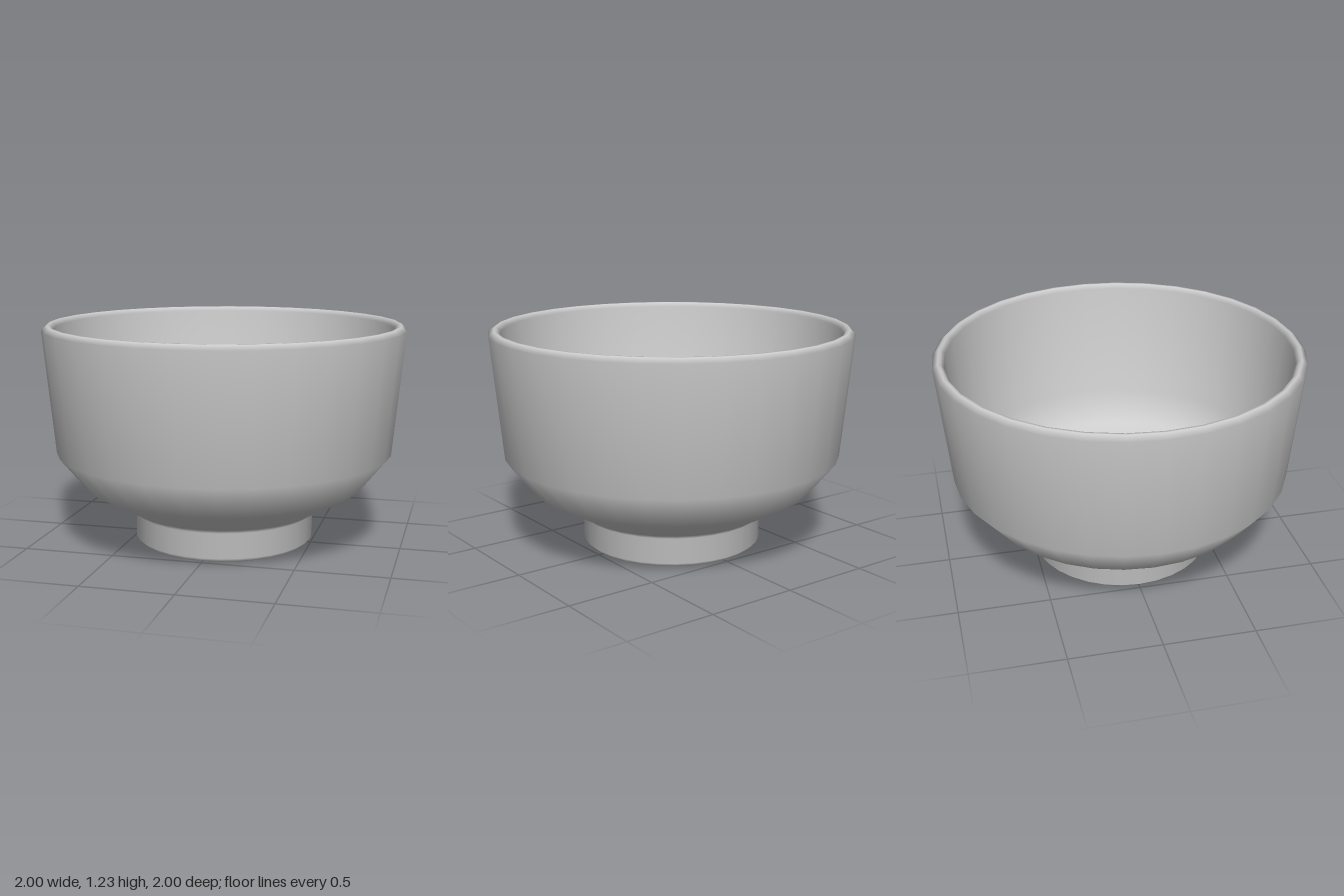
import * as THREE from 'three';

const SEGMENTS = 32;

// Revolve [radius, height] pairs; outer surfaces run upwards
function revolve(name, profile, material) {
  const points = profile.map(([r, y]) => new THREE.Vector2(r, y));
  const mesh = new THREE.Mesh(new THREE.LatheGeometry(points, SEGMENTS), material);
  mesh.name = name;
  return mesh;
}

export function createModel() {
  const group = new THREE.Group();
  group.name = 'bowl';
  const material = new THREE.MeshStandardMaterial({ color: 0xcccccc });

  group.add(revolve('bowlBody', [
    // hollow under the foot
    [0, 0.13], [0.36, 0.13], [0.39, 0.11], [0.39, 0.03],
    // foot ring
    [0.42, 0], [0.47, 0], [0.5, 0.025], [0.5, 0.165],
    // outer wall
    [0.53, 0.19], [0.78, 0.33], [0.935, 0.52], [1, 1.2],
    // rim
    [0.97, 1.225], [0.955, 1.225], [0.935, 1.2],
    // inner wall and floor
    [0.87, 0.54], [0.74, 0.38], [0.5, 0.25], [0, 0.21],
  ], material));

  return group;
}
